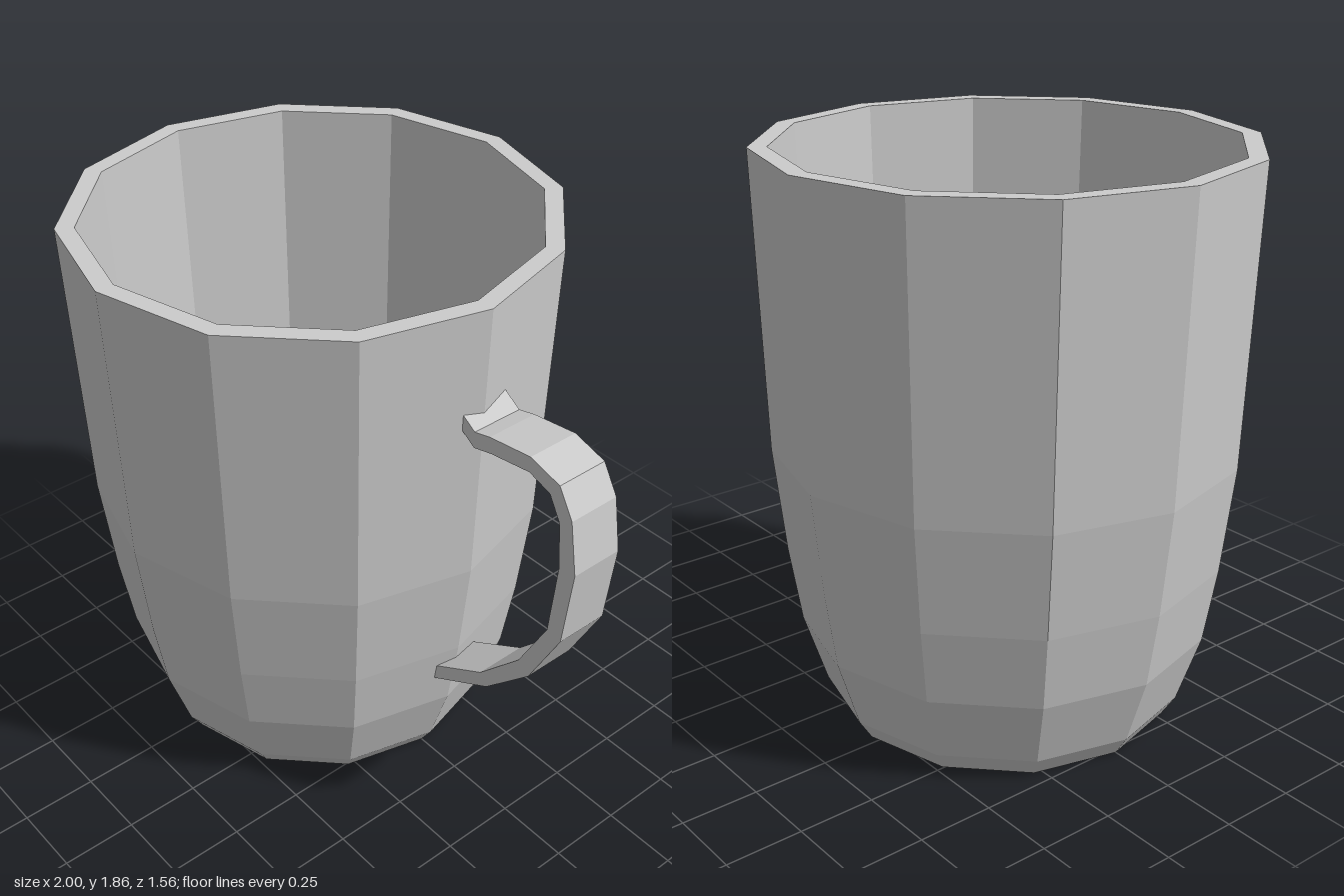
import * as THREE from 'three';

export function createModel() {
  const mug = new THREE.Group();
  mug.name = 'mug';
  const greyCeramic = new THREE.MeshStandardMaterial({ color: 0xcccccc, flatShading: true });
  greyCeramic.name = 'grey ceramic';
  const toPoints = (list) => list.map(([x, y]) => new THREE.Vector2(x, y));

  // Twelve-sided cup: recessed base, outer wall, rim, inner wall, stepped floor
  const profile = toPoints([
    [0, 0.04], [0.45, 0.04], [0.46, 0], [0.55, 0], [0.595, 0.07], [0.67, 0.3],
    [0.71, 0.55], [0.748, 0.9], [0.78, 1.855],
    [0.72, 1.855], [0.688, 0.9], [0.65, 0.55], [0.61, 0.32], [0.515, 0.12],
    [0.495, 0.11], [0.48, 0.08], [0, 0.08],
  ]);
  const cup = new THREE.Mesh(new THREE.LatheGeometry(profile, 12), greyCeramic);
  cup.name = 'cup';
  cup.position.x = -0.22;
  mug.add(cup);

  // Faceted strap handle: outer edge from top to bottom, then inner edge back up
  const outline = toPoints([
    [0.51, 1.53], [0.58, 1.485], [0.64, 1.5], [0.8, 1.52], [0.915, 1.487], [0.97, 1.395],
    [1, 1.22], [0.972, 0.955], [0.86, 0.735], [0.69, 0.565], [0.445, 0.425],
    [0.445, 0.48], [0.66, 0.605], [0.815, 0.77], [0.917, 0.965], [0.94, 1.215],
    [0.925, 1.365], [0.882, 1.44], [0.8, 1.468], [0.65, 1.447], [0.58, 1.43], [0.51, 1.475],
  ]);
  const strap = new THREE.ExtrudeGeometry(new THREE.Shape(outline), {
    depth: 0.177, bevelEnabled: false,
  });
  const handle = new THREE.Mesh(strap, greyCeramic);
  handle.name = 'handle';
  handle.position.z = -0.11;
  mug.add(handle);

  return mug;
}
